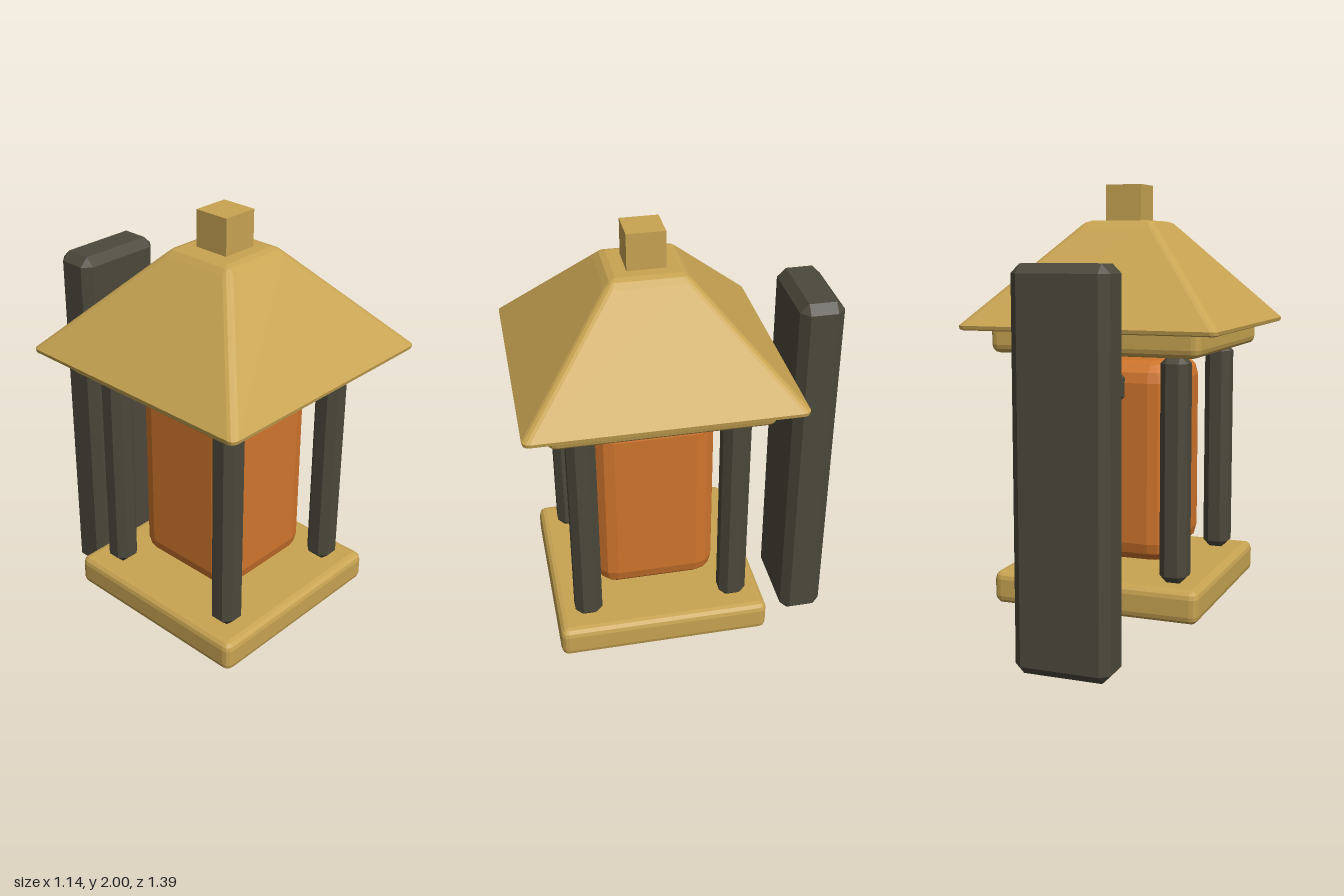
import * as THREE from 'three';

// Rounded-rectangle ring at height y: half sizes hx, hz, corner radius r, n segments per corner
function ring(y, hx, hz, r, n) {
  const pts = [];
  for (let q = 0; q < 4; q++) {
    const sx = q === 0 || q === 3 ? 1 : -1;
    const sz = q < 2 ? 1 : -1;
    for (let i = 0; i <= n; i++) {
      const a = (q + i / n) * Math.PI / 2;
      pts.push(new THREE.Vector3(sx * (hx - r) + r * Math.cos(a), y, sz * (hz - r) + r * Math.sin(a)));
    }
  }
  return pts;
}

// Faceted solid through a stack of rings, closed at both ends
function loft(rings) {
  const pos = [];
  const tri = (a, b, c) => {
    const area = b.clone().sub(a).cross(c.clone().sub(a)).length();
    if (area > 1e-9) for (const p of [a, b, c]) pos.push(p.x, p.y, p.z);
  };
  const count = rings[0].length;
  const bottom = new THREE.Vector3(0, rings[0][0].y, 0);
  const last = rings[rings.length - 1];
  const top = new THREE.Vector3(0, last[0].y, 0);
  for (let j = 0; j < count; j++) {
    const k = (j + 1) % count;
    for (let i = 0; i < rings.length - 1; i++) {
      const lo = rings[i], hi = rings[i + 1];
      tri(lo[j], hi[j], lo[k]);
      tri(lo[k], hi[j], hi[k]);
    }
    tri(bottom, rings[0][j], rings[0][k]);
    tri(top, last[k], last[j]);
  }
  const g = new THREE.BufferGeometry();
  g.setAttribute('position', new THREE.Float32BufferAttribute(pos, 3));
  g.computeVertexNormals();
  return g;
}

// Box with bevelled edges: bevel width c in n steps
function bevelBox(w, h, d, c, n) {
  const rings = [];
  for (const end of [-1, 1]) {
    for (let i = 0; i <= n; i++) {
      const a = (end < 0 ? i : n - i) / n * Math.PI / 2;
      const s = c * Math.sin(a);
      rings.push(ring(end * (h / 2 - c + c * Math.cos(a)), w / 2 - c + s, d / 2 - c + s, s, n));
    }
  }
  return loft(rings);
}

export function createModel() {
  const group = new THREE.Group();
  const material = (name, color) => {
    const m = new THREE.MeshStandardMaterial({ color });
    m.name = name;
    return m;
  };
  const gold = material('gold', 0xc8a452);
  const amber = material('amber', 0xd0752c);
  const iron = material('dark iron', 0x4c483c);
  const add = (name, geometry, mat, x, y, z) => {
    const mesh = new THREE.Mesh(geometry, mat);
    mesh.name = name;
    mesh.position.set(x, y, z);
    group.add(mesh);
  };
  const cz = 0.122; // lantern axis

  // Wall plate and arm
  add('wallPlate', bevelBox(0.42, 1.665, 0.194, 0.038, 1), iron, 0, 0.8325, -0.598);
  add('arm', bevelBox(0.15, 0.165, 0.45, 0.042, 1), iron, 0, 1.132, -0.325);

  // Lantern body
  add('base', bevelBox(0.935, 0.145, 0.935, 0.035, 3), gold, 0, 0.243, cz);
  add('glass', bevelBox(0.535, 0.885, 0.535, 0.09, 3), amber, 0, 0.798, cz);
  add('topPlate', bevelBox(0.935, 0.145, 0.935, 0.035, 3), gold, 0, 1.353, cz);

  // Corner posts
  const post = bevelBox(0.12, 0.97, 0.12, 0.032, 1);
  for (const sx of [-1, 1]) {
    for (const sz of [-1, 1]) add('cornerPost', post, iron, sx * 0.327, 0.798, cz + sz * 0.327);
  }

  // Hipped roof: [height, half width, corner radius]
  const profile = [
    [1.38, 0.555, 0.015], [1.385, 0.567, 0.027], [1.4, 0.57, 0.03],
    [1.812, 0.182, 0.03], [1.834, 0.158, 0.02], [1.843, 0.132, 0.005],
  ];
  add('roof', loft(profile.map(([y, h, r]) => ring(y, h, h, r, 3))), gold, 0, 0, cz);
  add('finial', new THREE.BoxGeometry(0.162, 0.18, 0.162), gold, 0, 1.91, cz - 0.003);

  return group;
}
